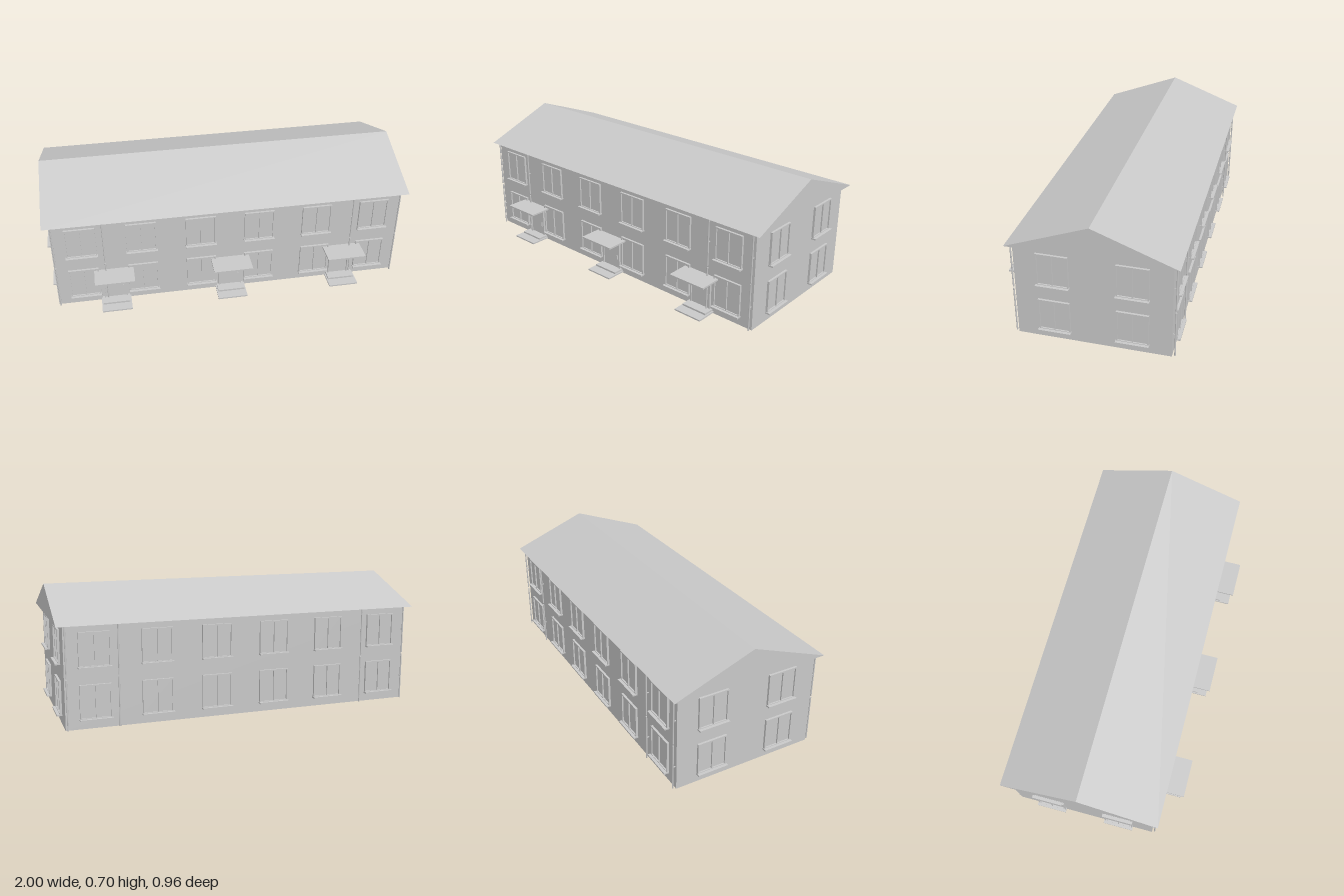
import * as THREE from 'three';

const plaster = new THREE.MeshStandardMaterial({ color: 0xc8c8c8 });
plaster.name = 'light grey plaster';

const FRONT = 0.35, BACK = -0.445, SIDE = 0.965, EAVES = 0.535;
const MID = (FRONT + BACK) / 2;

function box(parent, name, w, h, d, x, y, z) {
  const mesh = new THREE.Mesh(new THREE.BoxGeometry(w, h, d), plaster);
  mesh.name = name;
  mesh.position.set(x, y, z);
  parent.add(mesh);
  return mesh;
}

// Window with its origin at the bottom centre, facing +z, wall at z = 0
function makeWindow() {
  const g = new THREE.Group();
  g.name = 'window';
  const w = 0.164, h = 0.18, t = 0.007;
  const outline = new THREE.Shape([[-w / 2, 0], [w / 2, 0], [w / 2, h], [-w / 2, h]]
    .map(p => new THREE.Vector2(...p)));
  for (const s of [-1, 1]) {
    const x0 = s < 0 ? -w / 2 + t : 0.002;
    const x1 = s < 0 ? -0.002 : w / 2 - t;
    outline.holes.push(new THREE.Path([[x0, t], [x0, h - t], [x1, h - t], [x1, t]]
      .map(p => new THREE.Vector2(...p))));
  }
  const frame = new THREE.Mesh(
    new THREE.ExtrudeGeometry(outline, { depth: 0.012, bevelEnabled: false }), plaster);
  frame.name = 'windowFrame';
  g.add(frame);
  box(g, 'windowPane', w - 0.004, h - 0.004, 0.004, 0, h / 2, 0.002);
  box(g, 'windowSill', 0.17, 0.008, 0.028, 0, 0, 0.014);
  return g;
}

// Entrance with door, handle, steps and canopy, wall at z = 0
function makeEntrance() {
  const g = new THREE.Group();
  g.name = 'entrance';
  box(g, 'doorLeaf', 0.116, 0.18, 0.006, 0, 0.11, 0.003);
  for (const s of [-1, 1]) box(g, 'doorJamb', 0.006, 0.184, 0.012, s * 0.061, 0.112, 0.006);
  box(g, 'doorHandle', 0.004, 0.025, 0.008, 0.045, 0.0875, 0.01);
  box(g, 'lowerStep', 0.165, 0.008, 0.115, 0, 0.008, 0.0575);
  box(g, 'upperStep', 0.15, 0.012, 0.06, 0, 0.016, 0.03);
  box(g, 'canopy', 0.215, 0.009, 0.128, 0, 0.208, 0.064);
  return g;
}

export function createModel() {
  const model = new THREE.Group();
  model.name = 'apartmentHouse';

  // Main block
  box(model, 'walls', SIDE * 2, EAVES, FRONT - BACK, 0, EAVES / 2, MID);

  // Closed gable roof
  const gable = new THREE.Shape([[-0.38, EAVES], [0.48, EAVES], [0.05, 0.698]]
    .map(p => new THREE.Vector2(...p)));
  const roofGeo = new THREE.ExtrudeGeometry(gable, { depth: 2, bevelEnabled: false });
  roofGeo.translate(0, 0, -1).rotateY(Math.PI / 2);
  const roof = new THREE.Mesh(roofGeo, plaster);
  roof.name = 'gableRoof';
  model.add(roof);

  // Windows on all four walls, two storeys
  const place = (x, y, z, turn) => {
    const w = makeWindow();
    w.position.set(x, y, z);
    w.rotation.y = turn;
    model.add(w);
  };
  for (const y of [0.05, 0.319]) {
    for (let i = 0; i < 6; i++) {
      const x = (i - 2.5) * 0.324;
      place(x, y, FRONT, 0);
      place(x, y, BACK, Math.PI);
    }
    for (const z of [0.152, -0.248]) {
      place(SIDE, y, z, Math.PI / 2);
      place(-SIDE, y, z, -Math.PI / 2);
    }
  }

  // Three front entrances
  for (const x of [-0.647, 0, 0.644]) {
    const e = makeEntrance();
    e.position.set(x, 0, FRONT);
    model.add(e);
  }

  // Drainpipes in two lengths with brackets, front and back
  for (const [z, s] of [[FRONT, 1], [BACK, -1]]) {
    for (const x of [-0.955, -0.69, 0.69, 0.955]) {
      for (const [y0, y1] of [[0.002, 0.262], [0.272, EAVES]]) {
        const pipe = new THREE.Mesh(new THREE.CylinderGeometry(0.004, 0.004, y1 - y0, 10), plaster);
        pipe.name = 'drainpipe';
        pipe.position.set(x, (y0 + y1) / 2, z + s * 0.014);
        model.add(pipe);
        box(model, 'pipeBracket', 0.004, 0.004, 0.014, x, (y0 + y1) / 2, z + s * 0.007);
      }
    }
  }
  return model;
}
